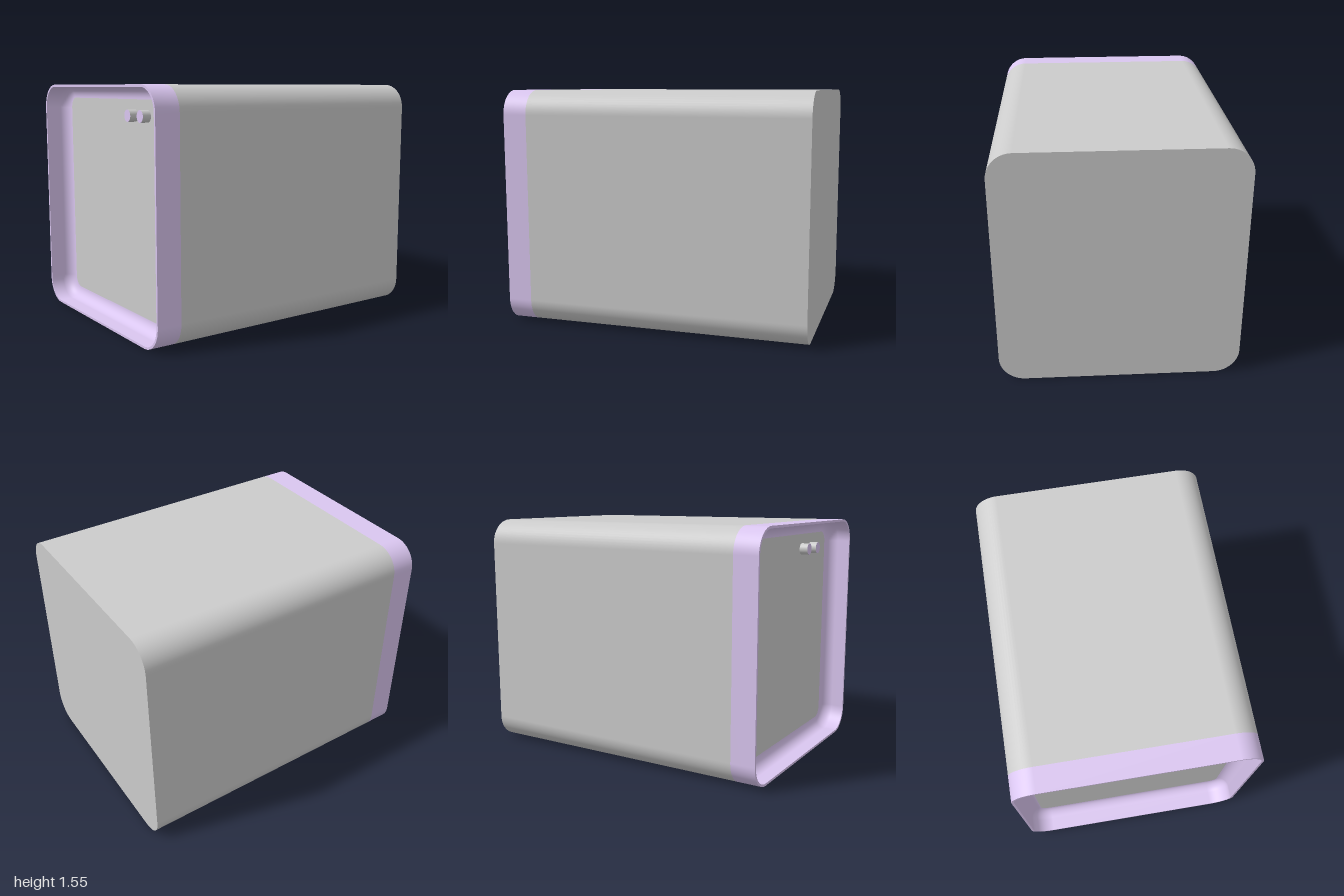
import * as THREE from 'three';

const HW = 0.765, HH = 0.775, R = 0.16; // half width, half height, corner radius
const FRONT = 1, PANEL = 0.84, BACK = -1;
const LIP = 0.015, FILLET = 0.075;

// Rounded-rectangle outline, counter-clockwise from the front, shrunk by inset
function outline(inset, segments = 14) {
  const r = R - inset, points = [];
  const corners = [[1, -1, -0.5], [1, 1, 0], [-1, 1, 0.5], [-1, -1, 1]];
  for (const [sx, sy, start] of corners) {
    for (let i = 0; i <= segments; i++) {
      const a = (start + 0.5 * i / segments) * Math.PI;
      points.push(new THREE.Vector2(
        sx * (HW - R) + r * Math.cos(a), sy * (HH - R) + r * Math.sin(a)));
    }
  }
  return points;
}

// Smooth surface through outlines given as [inset, z]
function loft(profile) {
  const positions = [], index = [];
  const n = outline(0).length;
  for (const [inset, z] of profile) {
    for (const p of outline(inset)) positions.push(p.x, p.y, z);
  }
  for (let k = 0; k < profile.length - 1; k++) {
    for (let i = 0; i < n; i++) {
      const a = k * n + i, b = k * n + (i + 1) % n;
      index.push(a, b, b + n, a, b + n, a + n);
    }
  }
  const geometry = new THREE.BufferGeometry();
  geometry.setAttribute('position', new THREE.Float32BufferAttribute(positions, 3));
  geometry.setIndex(index);
  geometry.computeVertexNormals();
  return geometry;
}

export function createModel() {
  const group = new THREE.Group();
  const grey = new THREE.MeshStandardMaterial({ color: 0xcccccc });
  const lilac = new THREE.MeshStandardMaterial({ color: 0xdac6f0 });
  const add = (name, geometry, material) => {
    const mesh = new THREE.Mesh(geometry, material);
    mesh.name = name;
    group.add(mesh);
    return mesh;
  };

  // Main casing with flat back
  add('casing', loft([[0, BACK], [0, PANEL]]), grey);
  const back = new THREE.ShapeGeometry(new THREE.Shape(outline(0)));
  add('backPanel', back.rotateY(Math.PI).translate(0, 0, BACK), grey);

  // Front bezel: outer band, thin rim, inner wall flowing into a concave fillet
  add('bezelBand', loft([[0, PANEL], [0, FRONT]]), lilac);
  add('bezelRim', loft([[0, FRONT], [LIP, FRONT]]), lilac);
  const inner = [[LIP, FRONT]];
  for (let i = 0; i <= 12; i++) {
    const a = i / 12 * Math.PI / 2;
    inner.push([LIP + FILLET * (1 - Math.cos(a)), PANEL + FILLET * (1 - Math.sin(a))]);
  }
  add('bezelInside', loft(inner), lilac);

  // Recessed front panel
  const panel = new THREE.ShapeGeometry(new THREE.Shape(outline(LIP + FILLET)));
  add('frontPanel', panel.translate(0, 0, PANEL), grey);

  // Two round buttons: grey sides, coloured faces
  const radius = 0.038, length = 0.055;
  [0.25, 0.405].forEach((x, i) => {
    const y = 1.36 - HH;
    const side = new THREE.CylinderGeometry(radius, radius, length, 32, 1, true);
    add('buttonSide' + (i + 1), side.rotateX(Math.PI / 2), grey)
      .position.set(x, y, PANEL + length / 2);
    add('buttonFace' + (i + 1), new THREE.CircleGeometry(radius, 32), lilac)
      .position.set(x, y, PANEL + length);
  });

  // Stand the body on the floor
  group.position.y = HH;
  const model = new THREE.Group();
  model.name = 'applianceBox';
  group.name = 'body';
  model.add(group);
  return model;
}
